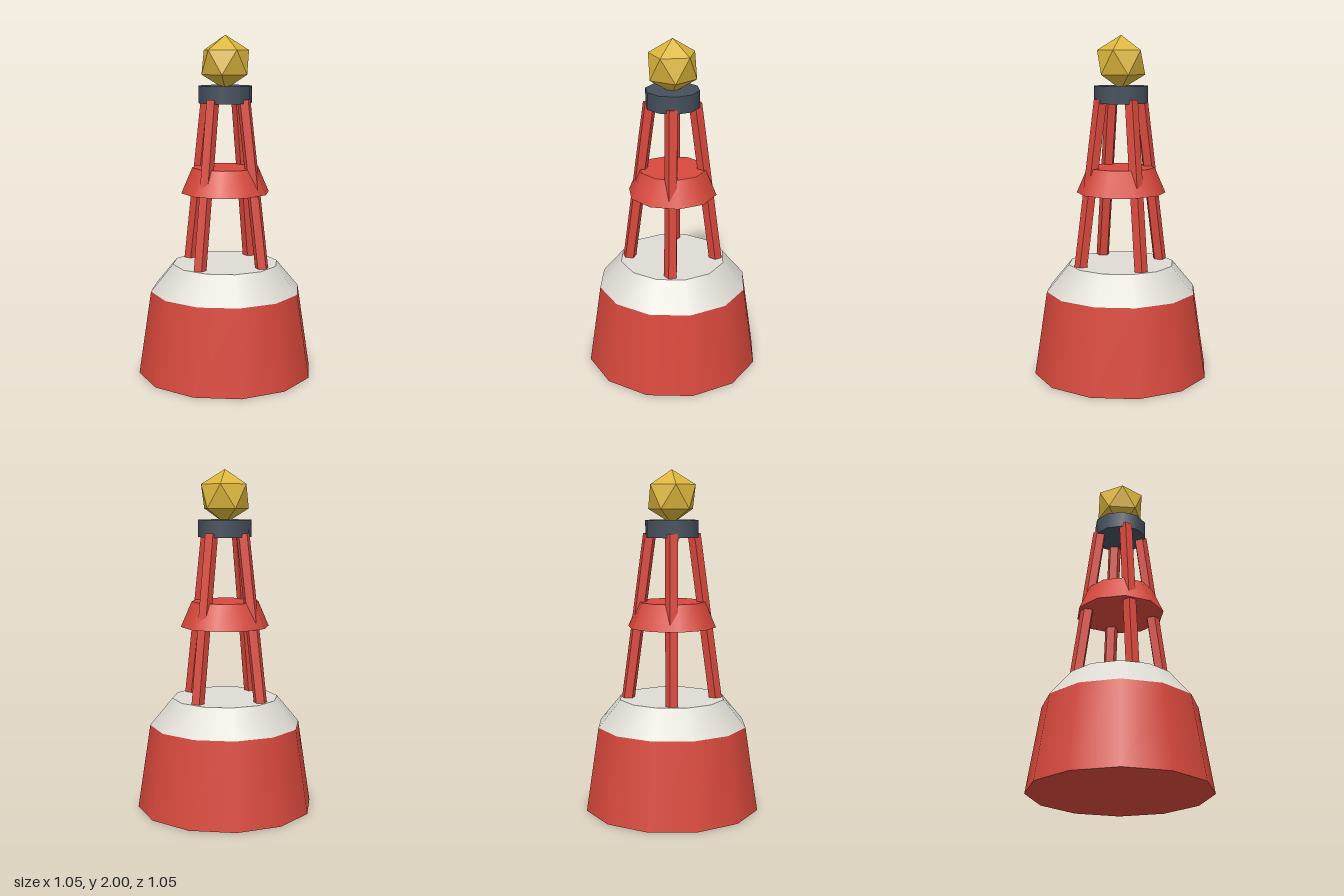
import * as THREE from 'three';

const mat = (name, color) => {
  const m = new THREE.MeshStandardMaterial({ color });
  m.name = name;
  return m;
};

export function createModel() {
  const red = mat('buoyRed', 0xd8483c);
  const white = mat('offWhite', 0xdedbd4);
  const slate = mat('slateGrey', 0x454f5c);
  const gold = mat('lampGold', 0xdcb53c);

  const model = new THREE.Group();
  model.name = 'buoy';

  const add = (name, geometry, material, parent = model) => {
    const mesh = new THREE.Mesh(geometry, material);
    mesh.name = name;
    parent.add(mesh);
    return mesh;
  };

  // Tapered drum between two heights, with a corner on the x axis
  const drum = (name, rBottom, rTop, y0, y1, sides, material) => {
    const g = new THREE.CylinderGeometry(rTop, rBottom, y1 - y0, sides);
    g.rotateY(Math.PI / 2);
    g.translate(0, (y0 + y1) / 2, 0);
    return add(name, g, material);
  };

  // Float, its pale shoulder, the collar and the lamp base
  drum('floatHull', 0.524, 0.448, 0, 0.5, 12, red);
  drum('floatShoulder', 0.448, 0.315, 0.5, 0.66, 12, white);
  drum('towerCollar', 0.262, 0.197, 1.085, 1.235, 10, red);
  drum('lampBase', 0.157, 0.157, 1.61, 1.71, 10, slate);

  // Four five-sided legs leaning inwards
  const foot = new THREE.Vector2(0.26, 0.655);
  const head = new THREE.Vector2(0.13, 1.63);
  const length = foot.distanceTo(head);
  const legGeometry = new THREE.CylinderGeometry(0.04, 0.04, length, 5).toNonIndexed();
  legGeometry.computeVertexNormals();
  legGeometry.rotateZ(Math.atan2(foot.x - head.x, head.y - foot.y));
  legGeometry.translate((foot.x + head.x) / 2, (foot.y + head.y) / 2, 0);
  for (let i = 0; i < 4; i++) {
    add('towerLeg' + (i + 1), legGeometry, red).rotation.y = Math.PI / 4 + (i * Math.PI) / 2;
  }

  // Faceted lamp standing on one corner
  const lamp = new THREE.IcosahedronGeometry(0.156, 0);
  lamp.rotateZ(-Math.atan(2 / (1 + Math.sqrt(5))));
  lamp.translate(0, 1.844, 0);
  add('lamp', lamp, gold);

  return model;
}
